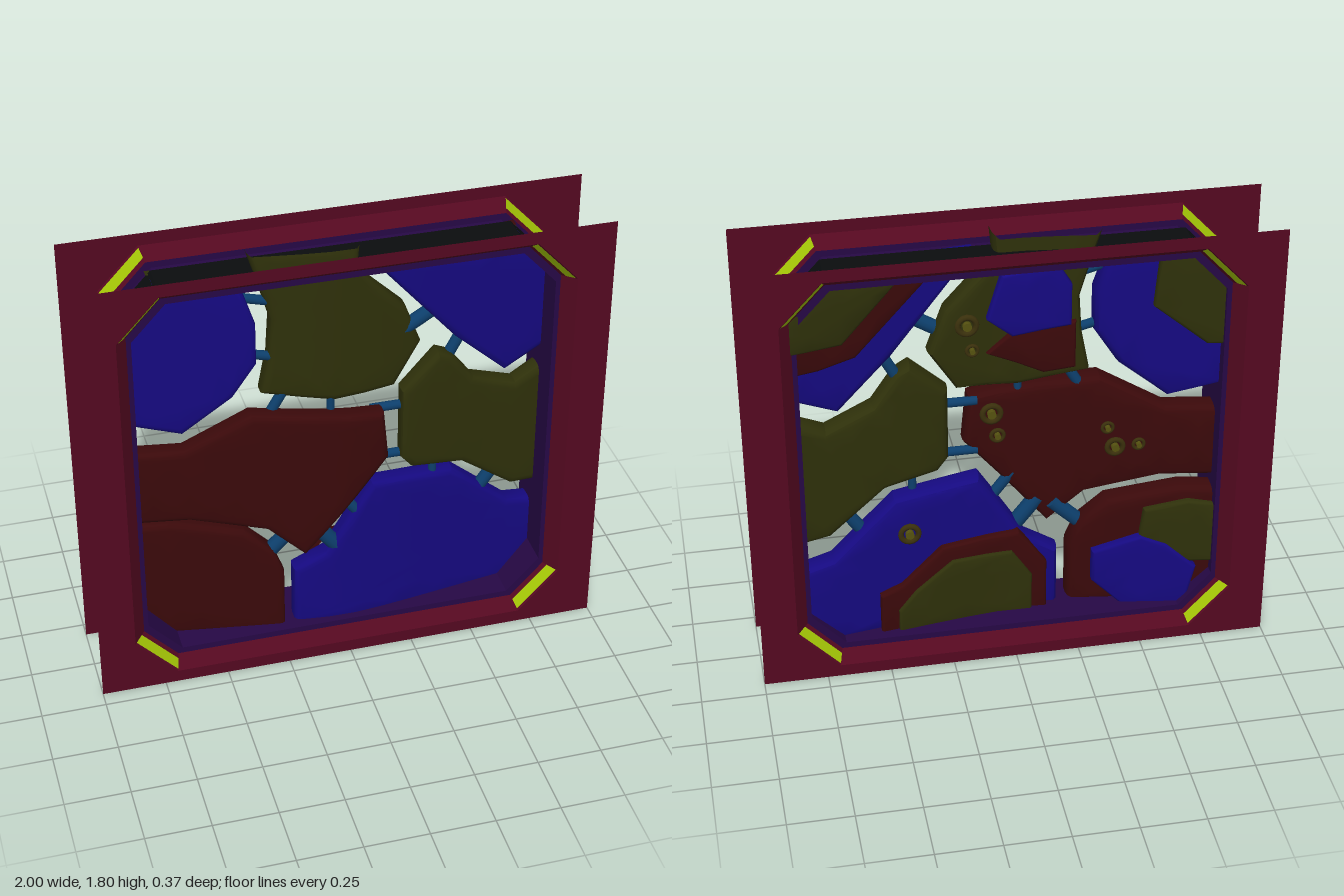
import * as THREE from 'three';
import { toCreasedNormals } from 'three/addons/utils/BufferGeometryUtils.js';

const mat = (color, side = THREE.FrontSide) => new THREE.MeshStandardMaterial({ color, side });
const WINE = 0x540820, BLUE = 0x150980, OLIVE = 0x2e300a, RED = 0x3a090a;
const TEAL = 0x0d3f6c, BLACK = 0x0a0d0e, PURPLE = 0x260845, LIME = 0xa2c406;
const CY = 0.9; // height of the frame centre

function add(parent, name, geometry, material) {
  const mesh = new THREE.Mesh(geometry, material);
  mesh.name = name;
  parent.add(mesh);
  return mesh;
}

function fromPositions(pos) {
  const g = new THREE.BufferGeometry();
  g.setAttribute('position', new THREE.Float32BufferAttribute(pos, 3));
  g.computeVertexNormals();
  return g;
}

// Chamfered rectangle: half width, half height, chamfer along x and y
function octagon(w, h, cx, cy) {
  return [[w, cy - h], [w, h - cy], [w - cx, h], [cx - w, h],
    [-w, h - cy], [-w, cy - h], [cx - w, -h], [w - cx, -h]];
}

// Band between two octagons at two depths, on the chosen sides (odd ones are the corners)
function band(a, za, b, zb, sides = [0, 1, 2, 3, 4, 5, 6, 7]) {
  const pos = [];
  for (const i of sides) {
    const j = (i + 1) % 8;
    const p = [[...a[i], za], [...a[j], za], [...b[j], zb], [...b[i], zb]];
    for (const k of [0, 1, 2, 0, 2, 3]) pos.push(p[k][0], p[k][1] + CY, p[k][2]);
  }
  return fromPositions(pos);
}

// Split the longest edge of a triangle until all edges are short
function split(tri, out) {
  const len = i => tri[i].distanceTo(tri[(i + 1) % 3]);
  const i = [0, 1, 2].reduce((m, k) => (len(k) > len(m) ? k : m), 0);
  if (len(i) < 0.14) { out.push(tri); return; }
  const a = tri[i], b = tri[(i + 1) % 3], c = tri[(i + 2) % 3];
  const m = a.clone().add(b).multiplyScalar(0.5);
  split([a, m, c], out);
  split([m, b, c], out);
}

// The wall of slabs falls away backwards to the left and right
const bend = x => -0.16 * Math.hypot(x, 0.12);
// Past the dark belt the slabs are hollow and open
const beyondBelt = v => Math.abs(v.x) > 0.83 || v.y > 1.74 || Math.abs(v.x) + Math.abs(v.y - CY) > 1.42;

// Rounded plate: depth of its back, bevel width, and thickness of back bevel, wall and front bevel
function plate(points, back, bevel, [tb, wall, tf], hasFront) {
  const shape = new THREE.Shape(points.map(p => new THREE.Vector2(...p)));
  const g = new THREE.ExtrudeGeometry(shape, {
    depth: 1, bevelThickness: 1, bevelSize: bevel, bevelOffset: -bevel, bevelSegments: 3
  });
  const p = g.attributes.position, tris = [], pos = [], n = new THREE.Vector3();
  for (let i = 0; i < p.count; i++) {
    const z = p.getZ(i);
    p.setZ(i, back + (z < 0 ? tb * (z + 1) : z < 1 ? tb + wall * z : tb + wall + tf * (z - 1)));
  }
  for (let i = 0; i < p.count; i += 3) {
    const tri = [0, 1, 2].map(k => new THREE.Vector3().fromBufferAttribute(p, i + k));
    new THREE.Triangle(...tri).getNormal(n);
    const c = tri[0];
    const openEnd = tri.every(beyondBelt) && n.x * c.x + n.y * (c.y - CY) > 0.3 * Math.hypot(c.x, c.y - CY);
    if (!openEnd && (hasFront || n.z < 0.9)) split(tri, tris);
  }
  for (const v of tris.flat()) pos.push(v.x, v.y, v.z + bend(v.x));
  return toCreasedNormals(fromPositions(pos), 0.6);
}

// Slabs: name, colour, depth of the back, outline
const SLABS = [
  ['upperRightSlab', BLUE, .045, [[-.92, 1.11], [-.8, 1.1], [-.61, 1.05], [-.42, 1.2], [-.33, 1.34], [-.33, 1.51], [-.39, 1.7], [-.69, 1.7], [-.92, 1.5]]],
  ['topSlab', OLIVE, .015, [[-.31, 1.19], [-.04, 1.135], [.2, 1.15], [.305, 1.32], [.24, 1.49], [.05, 1.68], [.06, 1.79], [-.35, 1.79], [-.32, 1.69], [-.27, 1.51], [-.28, 1.35]]],
  ['upperLeftSlab', BLUE, .047, [[.12, 1.7], [.44, 1.32], [.65, 1.12], [.8, 1.19], [.9, 1.22], [.9, 1.52], [.69, 1.7]]],
  ['leftSlab', OLIVE, .047, [[.225, .83], [.27, .775], [.48, .74], [.7, .57], [.8, .56], [.88, .57], [.88, 1.12], [.8, 1.1], [.7, 1.05], [.52, 1.12], [.43, 1.24], [.37, 1.27], [.225, 1.13]]],
  ['middleSlab', RED, .07, [[-.9, .67], [-.6, .67], [-.31, .6], [-.165, .465], [-.09, .555], [.165, .87], [.145, 1.075], [-.36, 1.13], [-.61, .99], [-.9, .99]]],
  ['lowerRightSlab', RED, .04, [[-.9, .3], [-.69, .1], [-.24, .09], [-.24, .37], [-.28, .475], [-.39, .58], [-.68, .64], [-.9, .63]]],
  ['bottomSlab', BLUE, .025, [[-.2, .09], [.69, .09], [.88, .27], [.88, .44], [.8, .455], [.7, .475], [.45, .7], [.11, .73], [-.075, .43], [-.2, .36]]]
];

// Layers on the slabs' backs: name, colour, depth of the slab's back, height above it, outline
const LAYERS = [
  ['upperLeftLayer', RED, .047, .035, [[.25, 1.7], [.58, 1.37], [.72, 1.34], [.89, 1.33], [.89, 1.54], [.7, 1.7]]],
  ['upperLeftCap', OLIVE, .047, .05, [[.39, 1.69], [.63, 1.44], [.87, 1.43], [.87, 1.53], [.7, 1.69]]],
  ['topLayer', RED, .015, .02, [[.085, 1.3], [-.13, 1.2], [-.25, 1.22], [-.25, 1.42], [-.01, 1.38]]],
  ['topCap', BLUE, .015, .035, [[.03, 1.63], [.085, 1.45], [-.01, 1.37], [-.23, 1.41], [-.23, 1.58], [-.18, 1.66]]],
  ['upperRightCap', OLIVE, .045, .03, [[-.56, 1.7], [-.54, 1.46], [-.74, 1.3], [-.92, 1.3], [-.92, 1.52], [-.7, 1.7]]],
  ['bottomLayer', RED, .025, .03, [[.52, .09], [.52, .285], [.43, .315], [.27, .455], [-.04, .475], [-.15, .325], [-.15, .09]]],
  ['bottomCap', OLIVE, .025, .045, [[.45, .095], [.45, .205], [.38, .285], [.23, .395], [-.01, .395], [-.09, .275], [-.09, .095]]],
  ['lowerRightCap', OLIVE, .04, .025, [[-.53, .55], [-.51, .38], [-.66, .3], [-.88, .3], [-.88, .56], [-.7, .59]]],
  ['lowerRightLayer', BLUE, .04, .035, [[-.33, .36], [-.33, .22], [-.45, .1], [-.7, .1], [-.74, .28], [-.62, .39], [-.52, .43]]]
];

// Connecting rods: x, y, x, y, radius
const RODS = [
  [-.38, 1.61, -.25, 1.575, .018], [-.37, 1.37, -.25, 1.34, .018], [-.22, 1.2, -.29, 1.08, .02],
  [-.05, 1.16, -.05, 1.06, .015], [.36, 1.455, .22, 1.37, .028], [.47, 1.31, .4, 1.18, .022],
  [.11, 1.055, .26, 1.055, .018], [.11, .835, .26, .835, .018], [.37, .8, .37, .68, .016],
  [.65, .67, .56, .54, .026], [-.03, .71, .07, .58, .022], [-.13, .58, -.02, .44, .032],
  [-.18, .565, -.31, .44, .03]
];

// Rivets on the back: x, y, z, radius
const RIVETS = [
  [.158, 1.427, -.02, .05], [.139, 1.319, -.02, .03], [.056, .995, .043, .05], [.033, .893, .045, .035],
  [-.39, .907, 0, .03], [-.42, .82, -.005, .045], [-.51, .83, -.018, .03], [.395, .54, -.045, .05]
];

export function createModel() {
  const model = new THREE.Group();
  model.name = 'slabPanel';
  const D = THREE.DoubleSide;
  const outer = octagon(.86, .85, .16, .17), inner = octagon(.815, .81, .13, .14);
  const lining = octagon(.797, .785, .13, .14), belt = octagon(.82, .81, .14, .15);
  const mix = t => outer.map((p, i) => p.map((v, k) => v + (inner[i][k] - v) * t));

  // Front and back frames: sheet, sloping rim, bright corner strips and inner lip
  for (const s of [1, -1]) {
    const frame = new THREE.Group();
    frame.name = s > 0 ? 'frontFrame' : 'backFrame';
    const sheet = new THREE.Shape([[-1, 0], [1, 0], [1, 1.8], [-1, 1.8]].map(p => new THREE.Vector2(...p)));
    sheet.holes.push(new THREE.Path(outer.map(([x, y]) => new THREE.Vector2(x, y + CY))));
    const wine = mat(WINE, D), z = t => s * (.187 - .057 * t), corners = [1, 3, 5, 7];
    add(frame, 'frameSheet', new THREE.ShapeGeometry(sheet).translate(0, 0, s * .187), wine);
    add(frame, 'rim', band(outer, z(0), inner, z(1), [0, 2, 4, 6]), wine);
    for (const [a, b, color, name] of [[0, .12, WINE, 'rimCornerOuter'],
      [.12, .72, LIME, 'cornerStrip'], [.72, 1, WINE, 'rimCornerInner']])
      add(frame, name, band(mix(a), z(a), mix(b), z(b), corners), mat(color, D));
    add(frame, 'lip', band(inner, z(1), lining, z(1)), mat(PURPLE, D));
    model.add(frame);
  }

  // Inner lining and the dark belt around it
  add(model, 'lining', band(lining, .13, lining, -.13), mat(PURPLE, D));
  add(model, 'belt', band(belt, .065, belt, -.07), mat(BLACK, D));
  for (const z of [.065, -.07]) add(model, 'beltEdge', band(belt, z, lining, z), mat(BLACK, D));

  // Slabs and their back layers
  for (const [name, color, back, pts] of SLABS)
    add(model, name, plate(pts, back, .028, [.04, .035, .02], true), mat(color));
  for (const [name, color, back, height, pts] of LAYERS)
    add(model, name, plate(pts, back - height, .012, [.012, height, .001], false), mat(color));

  // Rods between the slabs
  for (const [x0, y0, x1, y1, r] of RODS) {
    const dx = x1 - x0, dy = y1 - y0, x = (x0 + x1) / 2;
    const rod = add(model, 'rod', new THREE.CylinderGeometry(r, r, Math.hypot(dx, dy), 12), mat(TEAL));
    rod.position.set(x, (y0 + y1) / 2, .09 + bend(x));
    rod.rotation.z = Math.atan2(-dx, dy);
  }

  // Rivets: a raised ring with a stud in the middle
  for (const [x, y, z, r] of RIVETS) {
    const rivet = new THREE.Group();
    rivet.name = 'rivet';
    add(rivet, 'rivetRing', new THREE.TorusGeometry(r * .7, r * .24, 8, 16), mat(0x3a300c));
    add(rivet, 'rivetStud', new THREE.CylinderGeometry(r * .35, r * .35, .03, 12).rotateX(Math.PI / 2), mat(0x565210));
    rivet.position.set(x, y, z);
    model.add(rivet);
  }
  return model;
}
